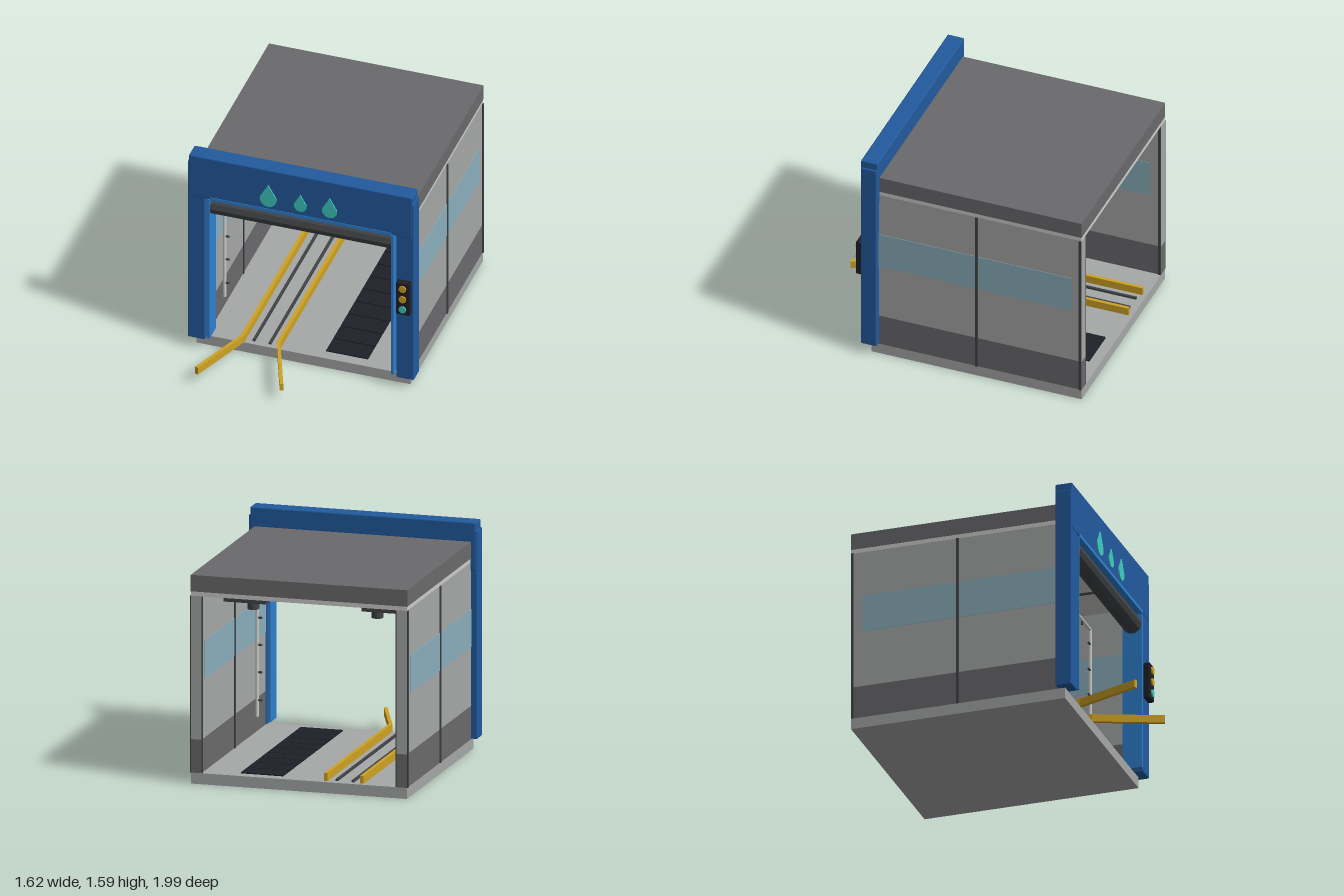
import * as THREE from 'three';
import { RoundedBoxGeometry } from 'three/addons/geometries/RoundedBoxGeometry.js';

const material = (name, color) => Object.assign(new THREE.MeshStandardMaterial({ color }), { name });

export function createModel() {
  const m = {
    concrete: material('light grey', 0xa6a7a7),
    trim: material('pale trim', 0xcccdc9),
    dark: material('dark grey', 0x6a6a6c),
    steel: material('charcoal steel', 0x414346),
    black: material('black', 0x1f1f28),
    blue: material('deep blue', 0x225a9e),
    bright: material('bright blue', 0x2f80cf),
    glass: material('window blue', 0x8aafbc),
    yellow: material('yellow', 0xcda223),
    teal: material('teal', 0x3fccc2),
  };
  const model = new THREE.Group();
  model.name = 'carWash';

  const add = (name, geometry, mat, x = 0, y = 0, z = 0) => {
    const mesh = new THREE.Mesh(geometry, mat);
    mesh.name = name;
    mesh.position.set(x, y, z);
    model.add(mesh);
    return mesh;
  };
  // Box given by its limits on each axis
  const box = (name, mat, x0, x1, y0, y1, z0, z1, radius = 0) => {
    const s = [x1 - x0, y1 - y0, z1 - z0];
    const g = radius ? new RoundedBoxGeometry(...s, 2, radius) : new THREE.BoxGeometry(...s);
    return add(name, g, mat, (x0 + x1) / 2, (y0 + y1) / 2, (z0 + z1) / 2);
  };
  // Box on one side: a and b are distances from the centre plane
  const sideBox = (name, mat, side, a, b, ...rest) =>
    box(name, mat, Math.min(side * a, side * b), Math.max(side * a, side * b), ...rest);
  const rod = (name, mat, r, length, axis, x, y, z, sides = 12) => {
    const g = new THREE.CylinderGeometry(r, r, length, sides);
    if (axis === 'x') g.rotateZ(Math.PI / 2);
    if (axis === 'z') g.rotateX(Math.PI / 2);
    return add(name, g, mat, x, y, z);
  };

  // Floor and roof
  box('floorSlab', m.concrete, -0.765, 0.765, 0, 0.077, -1, 0.535);
  box('ceilingPlate', m.trim, -0.765, 0.765, 1.31, 1.34, -1, 0.535);
  box('roof', m.dark, -0.768, 0.768, 1.34, 1.455, -1, 0.535);

  for (const s of [-1, 1]) {
    // Side walls with windows and seams
    sideBox('lowerWall', m.dark, s, 0.692, 0.765, 0.077, 0.31, -1, 0.535);
    sideBox('upperWall', m.concrete, s, 0.692, 0.765, 0.31, 1.31, -1, 0.535);
    sideBox('window', m.glass, s, 0.689, 0.768, 0.72, 0.985, -0.925, 0.5);
    for (const z of [-0.99, -0.235, 0.52])
      sideBox('wallSeam', m.steel, s, 0.685, 0.773, 0.077, 1.31, z - 0.009, z + 0.009);

    // Entrance posts and inner trim
    sideBox('entrancePost', m.blue, s, 0.685, 0.81, 0.08, 1.535, 0.48, 0.595, 0.008);
    sideBox('entranceTrim', m.bright, s, 0.65, 0.667, 0.1, 1.25, 0.46, 0.6);

    // Spray uprights with nozzles
    rod('sprayPipe', m.trim, 0.012, 1.0, 'y', s * 0.672, 0.695, 0.22);
    for (const y of [0.31, 0.505, 0.695, 0.885, 1.08])
      rod('sprayNozzle', m.steel, 0.008, 0.03, 'x', s * 0.652, y, 0.22, 8);

    // Ceiling rails and dryers
    box('ceilingRail', m.steel, s * 0.345 - 0.006, s * 0.345 + 0.006, 1.297, 1.31, -0.92, 0.4);
    sideBox('dryerBody', m.steel, s, 0.34, 0.64, 1.2, 1.25, -0.66, -0.58);
    rod('dryerNozzle', m.steel, 0.04, 0.05, 'y', s * 0.44, 1.18, -0.62, 16);
    rod('dryerMount', m.steel, 0.04, 0.06, 'y', s * 0.44, 1.28, -0.62, 16);
  }

  // Spray arch crossbar
  rod('sprayCrossbar', m.trim, 0.012, 1.36, 'x', 0, 1.19, 0.22);
  for (let i = -2; i <= 2; i++)
    rod('sprayNozzle', m.steel, 0.008, 0.03, 'y', i * 0.25, 1.17, 0.22, 8);

  // Entrance header, trim and rolled shutter
  box('entranceHeader', m.blue, -0.8, 0.8, 1.25, 1.59, 0.475, 0.598, 0.01);
  box('headerTrim', m.bright, -0.65, 0.65, 1.247, 1.272, 0.47, 0.602);
  rod('rolledShutter', m.steel, 0.066, 1.3, 'x', 0, 1.17, 0.53, 10).geometry =
    new THREE.CylinderGeometry(0.066, 0.066, 1.3, 10).toNonIndexed().rotateZ(Math.PI / 2);
  const roll = model.getObjectByName('rolledShutter');
  roll.geometry.computeVertexNormals();
  for (const s of [-1, 1])
    box('shutterBracket', m.steel, s * 0.44 - 0.035, s * 0.44 + 0.035, 1.22, 1.255, 0.5, 0.56);

  // Water drops on the header
  const drop = (x, bottom, top, r) => {
    const c = bottom + r;
    const a = 0.45;
    const shape = new THREE.Shape();
    shape.moveTo(0, top - c);
    shape.lineTo(-r * Math.cos(a), r * Math.sin(a));
    shape.absarc(0, 0, r, Math.PI - a, a + Math.PI * 2, false);
    shape.lineTo(0, top - c);
    const g = new THREE.ExtrudeGeometry(shape, { depth: 0.009, bevelEnabled: false, curveSegments: 20 });
    add('waterDrop', g, m.teal, x, c, 0.597);
  };
  drop(-0.23, 1.293, 1.47, 0.059);
  drop(0, 1.305, 1.44, 0.045);
  drop(0.21, 1.3, 1.46, 0.053);

  // Signal lights
  box('signalHousing', m.black, 0.695, 0.795, 0.635, 0.9, 0.59, 0.638, 0.01);
  [[0.853, m.yellow], [0.768, m.yellow], [0.684, m.teal]].forEach(([y, mat]) =>
    rod('signalLamp', mat, 0.026, 0.014, 'z', 0.745, y, 0.641, 20));

  // Wheel guides: straight run plus a flared entry
  for (const [x, endX] of [[-0.437, -0.612], [-0.18, -0.003]]) {
    const shape = new THREE.Shape();
    const h = 0.0125;
    const dx = endX - x;
    const dz = 0.455;
    const len = Math.hypot(dx, dz);
    const ox = (h * dz) / len;
    const oz = (h * dx) / len;
    shape.moveTo(x - h, 0.97);
    shape.lineTo(x - h, -0.53);
    shape.lineTo(endX - ox, -0.99 - oz);
    shape.lineTo(endX + ox, -0.99 + oz);
    shape.lineTo(x + h, -0.53);
    shape.lineTo(x + h, 0.97);
    const g = new THREE.ExtrudeGeometry(shape, { depth: 0.055, bevelEnabled: false });
    g.rotateX(-Math.PI / 2);
    add('wheelGuide', g, m.yellow, 0, 0.077, 0);
  }

  // Conveyor tracks between the guides
  for (const x of [-0.367, -0.252])
    box('conveyorTrack', m.steel, x - 0.009, x + 0.009, 0.077, 0.091, -0.95, 0.5);

  // Drain grate panels
  const panels = 9;
  const pitch = 1.39 / panels;
  for (let i = 0; i < panels; i++) {
    const z = -0.93 + i * pitch;
    box('drainGrate', m.black, 0.135, 0.435, 0.077, 0.085, z + 0.005, z + pitch - 0.005);
  }

  return model;
}
